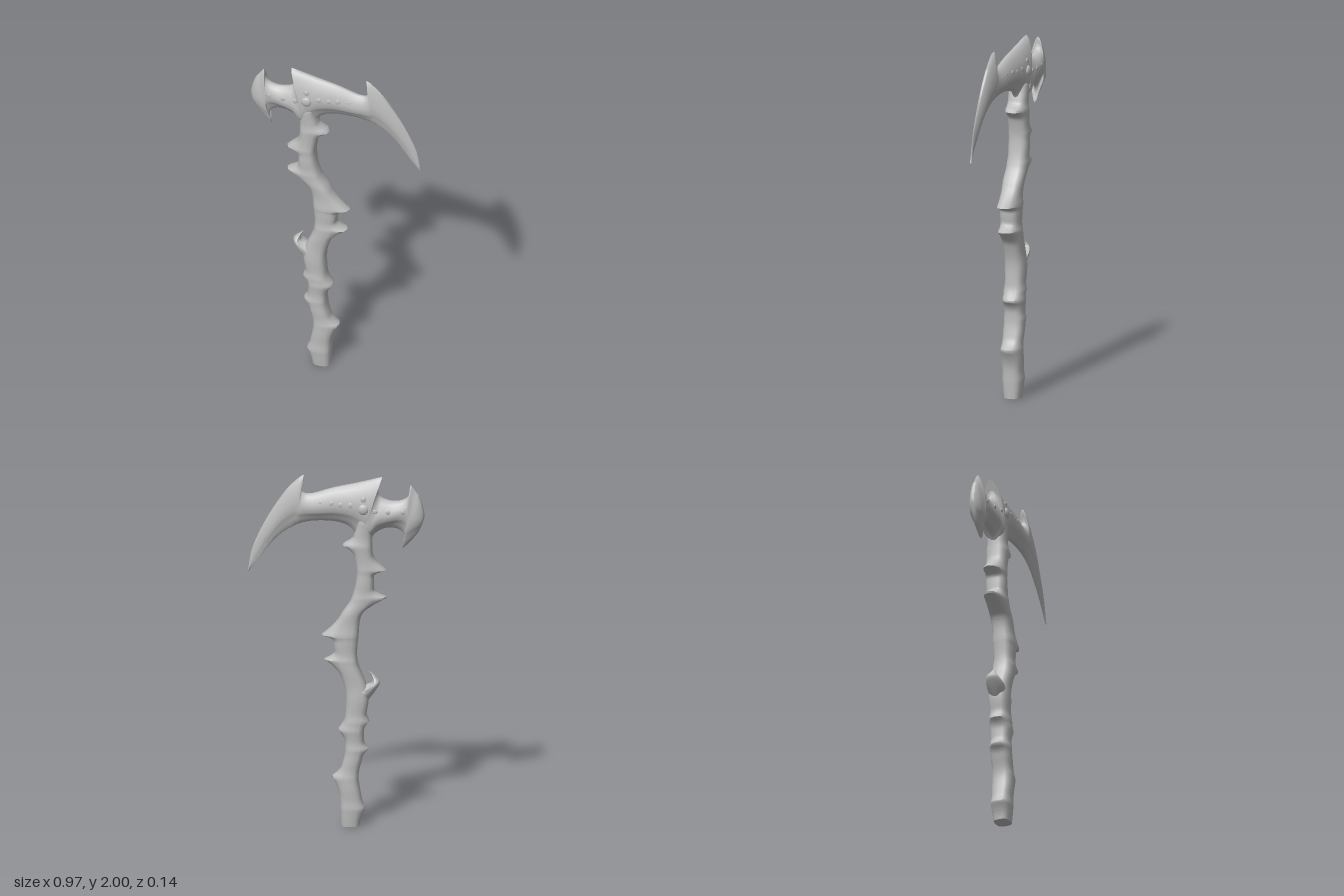
import * as THREE from 'three';
import { toCreasedNormals } from 'three/addons/utils/BufferGeometryUtils.js';

const bone = new THREE.MeshStandardMaterial({ color: 0xbcbcbc });
bone.name = 'greyBone';

// Skin a list of closed rings (arrays of Vector3), cap both ends, face outwards.
function loft(rings, crease) {
  const n = rings[0].length, pos = [], idx = [];
  rings.forEach(r => r.forEach(p => pos.push(p.x, p.y, p.z)));
  for (let i = 0; i < rings.length - 1; i++) {
    for (let j = 0; j < n; j++) {
      const a = i * n + j, b = i * n + (j + 1) % n;
      idx.push(a, b, b + n, a, b + n, a + n);
    }
  }
  const last = (rings.length - 1) * n;
  for (let j = 1; j < n - 1; j++) idx.push(0, j + 1, j, last, last + j, last + j + 1);
  const v = k => new THREE.Vector3().fromArray(pos, idx[k] * 3);
  let volume = 0;
  for (let k = 0; k < idx.length; k += 3) volume += v(k).dot(v(k + 1).cross(v(k + 2)));
  if (volume < 0) idx.reverse();
  const geo = new THREE.BufferGeometry();
  geo.setAttribute('position', new THREE.Float32BufferAttribute(pos, 3));
  geo.setIndex(idx);
  return toCreasedNormals(geo, crease);
}

// Blade from stations [outerX, outerY, innerX, innerY, halfThickness].
const bevel = [[0, 0], [0.03, 0.25], [0.12, 0.52], [0.28, 0.84], [0.45, 0.97], [0.65, 1],
  [0.72, 0.78], [0.85, 0.48], [0.96, 0.24], [1, 0]];
function blade(stations) {
  const outer = new THREE.CatmullRomCurve3(stations.map(s => new THREE.Vector3(s[0], s[1], s[4])));
  const inner = new THREE.CatmullRomCurve3(stations.map(s => new THREE.Vector3(s[2], s[3], 0)));
  const count = (stations.length - 1) * 4, rings = [];
  for (let k = 0; k <= count; k++) {
    const o = outer.getPoint(k / count), i = inner.getPoint(k / count);
    const face = dir => bevel.map(([t, h]) => new THREE.Vector3(
      o.x + (i.x - o.x) * t, o.y + (i.y - o.y) * t, dir * h * Math.max(o.z, 0)));
    rings.push([...face(1), ...face(-1).slice(1, -1).reverse()]);
  }
  return loft(rings, 1.1);
}

// Handle: core stations [y, left, right]; thorns [y, side, length, reach below, reach above].
function thornedHandle(core, thorns) {
  const path = new THREE.CatmullRomCurve3(core.map(([y, l, r]) => new THREE.Vector3((l + r) / 2, y, (r - l) / 2)));
  const sides = 16, steps = 180, rings = [];
  const soft = c => Math.sign(c) * Math.abs(c) ** 0.68;
  for (let k = 0; k <= steps; k++) {
    const { x, y, z: half } = path.getPoint(k / steps);
    const reach = { '-1': 0, '1': 0 };
    let swell = 0;
    for (const [ty, side, length, below, above] of thorns) {
      const f = Math.max(0, 1 - Math.abs(y - ty) / (y < ty ? below : above)) ** 2;
      reach[side] += length * f;
      swell = Math.max(swell, f);
    }
    const foot = 0.01 * Math.max(0, 1 - y / 0.12), neck = 0.025 * Math.max(0, (y - 1.75) / 0.1);
    const depth = 0.055 + 0.004 * swell + 0.0015 * Math.sin(y * 37) - foot - neck;
    rings.push(Array.from({ length: sides }, (_, j) => {
      const a = j / sides * Math.PI * 2, c = Math.cos(a), dir = c < 0 ? -1 : 1;
      return new THREE.Vector3(x + half * soft(c) + reach[dir] * dir * c * c, y, depth * soft(Math.sin(a)));
    }));
  }
  return loft(rings, 0.75);
}

export function createModel() {
  const model = new THREE.Group();
  model.name = 'thornedWarScythe';
  const add = (name, geo) => {
    const mesh = new THREE.Mesh(geo, bone);
    mesh.name = name;
    model.add(mesh);
    return mesh;
  };

  // Crooked handle with thorns on both edges
  add('handle', thornedHandle([
    [0, -0.13, -0.03], [0.12, -0.145, -0.025], [0.28, -0.125, -0.02], [0.42, -0.152, -0.05],
    [0.56, -0.155, -0.048], [0.76, -0.18, -0.054], [0.94, -0.12, -0.005], [1.09, -0.125, 0.01],
    [1.2, -0.14, -0.025], [1.3, -0.2, -0.085], [1.45, -0.208, -0.115], [1.62, -0.2, -0.092],
    [1.72, -0.2, -0.115], [1.85, -0.18, -0.13],
  ], [
    [0.1, -1, 0.02, 0.08, 0.06], [0.28, 1, 0.045, 0.12, 0.06], [0.44, -1, 0.03, 0.05, 0.05],
    [0.55, 1, 0.04, 0.07, 0.08], [0.6, -1, 0.03, 0.06, 0.05], [0.95, 1, 0.07, 0.09, 0.05],
    [1.09, 1, 0.07, 0.03, 0.12], [1.31, -1, 0.085, 0.09, 0.05], [1.47, -1, 0.075, 0.04, 0.09],
    [1.61, 1, 0.065, 0.06, 0.05],
  ]));

  // Upturned hook on the grip
  add('gripHook', blade([
    [-0.165, 0.7, -0.13, 0.81, 0.05], [-0.222, 0.78, -0.168, 0.81, 0.048],
    [-0.243, 0.825, -0.197, 0.822, 0.035], [-0.22, 0.855, -0.2, 0.842, 0.018],
    [-0.185, 0.885, -0.185, 0.885, 0],
  ]));

  // Sickle blade, from its tip to the central crest
  add('sickleBlade', blade([
    [0.485, 1.435, 0.485, 1.435, 0.004], [0.46, 1.57, 0.435, 1.5, 0.006],
    [0.405, 1.7, 0.38, 1.575, 0.013], [0.325, 1.84, 0.33, 1.635, 0.022],
    [0.25, 1.94, 0.285, 1.675, 0.028], [0.175, 2.0, 0.24, 1.702, 0.034],
    [0.19, 1.92, 0.2, 1.722, 0.037], [0.16, 1.895, 0.12, 1.74, 0.041],
    [0.01, 1.935, -0.02, 1.735, 0.05], [-0.12, 1.965, -0.09, 1.7, 0.058],
    [-0.255, 2.0, -0.13, 1.62, 0.061],
  ]));

  // Rear crescent, from the crest to its rounded edge
  add('rearCrescent', blade([
    [-0.255, 2.0, -0.13, 1.62, 0.061], [-0.235, 1.94, -0.145, 1.61, 0.061],
    [-0.24, 1.895, -0.17, 1.61, 0.06], [-0.27, 1.875, -0.215, 1.675, 0.056],
    [-0.335, 1.865, -0.265, 1.705, 0.051], [-0.39, 1.885, -0.32, 1.71, 0.046],
    [-0.405, 1.91, -0.365, 1.69, 0.043], [-0.41, 1.957, -0.382, 1.65, 0.042],
    [-0.435, 1.925, -0.365, 1.595, 0.041], [-0.46, 1.89, -0.415, 1.64, 0.036],
    [-0.482, 1.82, -0.46, 1.7, 0.018], [-0.487, 1.785, -0.487, 1.775, 0],
  ]));

  // Central stud and low knobs on both faces: [x, y, z, radius, flatness]
  const knobs = [
    [-0.155, 1.825, 0.055, 0.03, 0.5], [-0.155, 1.88, 0.051, 0.016, 0.35], [-0.085, 1.845, 0.052, 0.016, 0.35],
    [-0.03, 1.845, 0.048, 0.014, 0.35], [0.02, 1.85, 0.043, 0.016, 0.35], [0.08, 1.85, 0.036, 0.014, 0.35],
    [-0.22, 1.815, 0.057, 0.013, 0.3], [-0.29, 1.81, 0.05, 0.013, 0.3], [-0.37, 1.81, 0.042, 0.014, 0.3],
  ];
  for (const side of [1, -1]) {
    knobs.forEach(([x, y, z, r, flat], i) => {
      const knob = add(i ? 'headKnob' : 'headStud', new THREE.SphereGeometry(r, 14, 10));
      knob.scale.z = flat;
      knob.position.set(x, y, z * side);
    });
  }
  return model;
}
